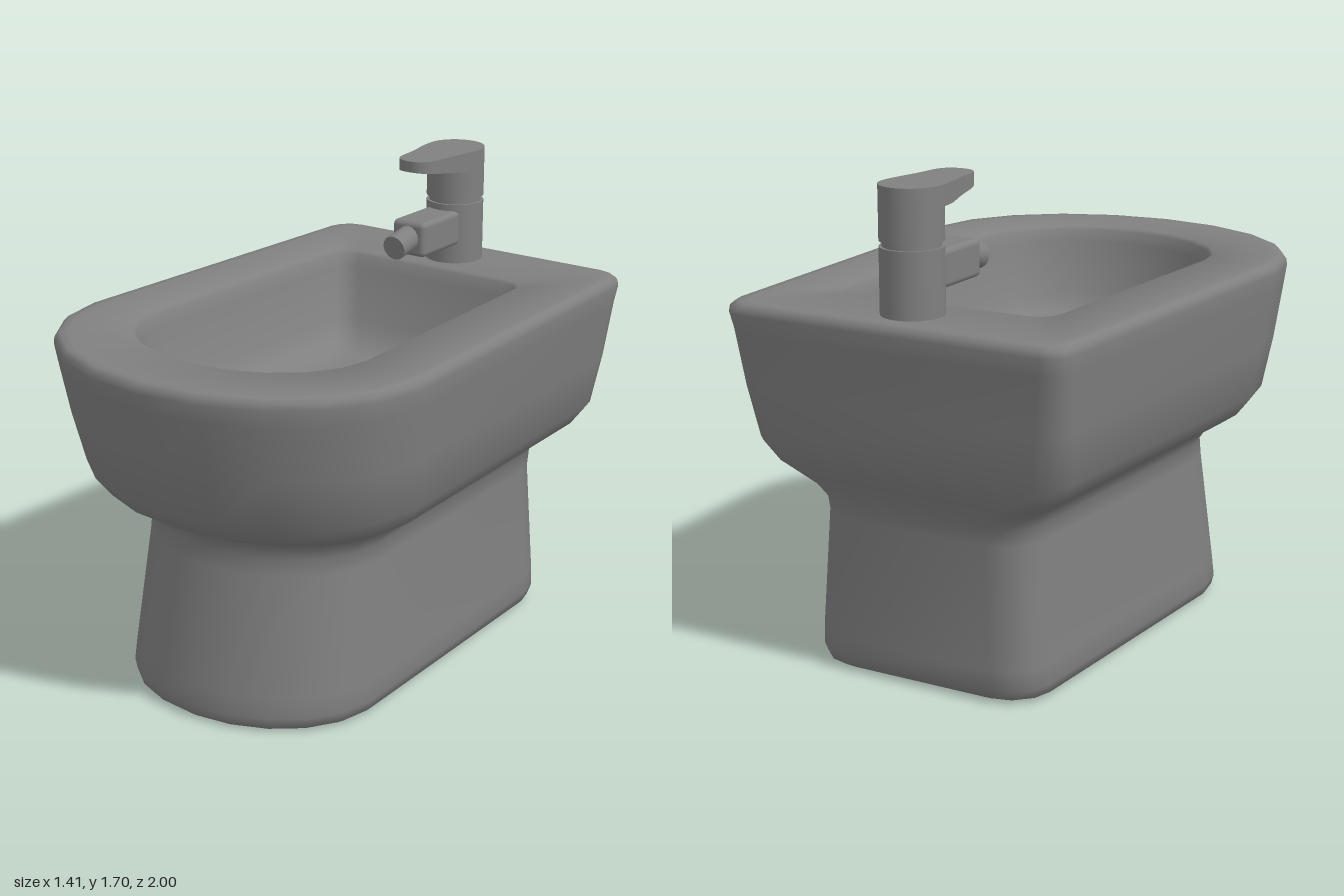
import * as THREE from 'three';
import { toCreasedNormals } from 'three/addons/utils/BufferGeometryUtils.js';
import { RoundedBoxGeometry } from 'three/addons/geometries/RoundedBoxGeometry.js';

// Horizontal outline: round front, slightly tapering sides, rounded back corners
function ring(y, half, zFront, zBack, corner) {
  const pts = [];
  const arcDepth = 0.8 * half;
  const halfBack = 0.91 * half;
  for (let i = 0; i <= 10; i++) {
    const a = (i / 10) * Math.PI;
    pts.push([half * Math.cos(a), y, zFront - arcDepth * (1 - Math.sin(a))]);
  }
  for (const side of [-1, 1]) {
    for (let i = 0; i <= 3; i++) {
      const a = Math.PI * (side < 0 ? 1 : 1.5) + (i / 3) * Math.PI / 2;
      pts.push([side * (halfBack - corner) + corner * Math.cos(a), y, zBack + corner + corner * Math.sin(a)]);
    }
  }
  return pts;
}

// Skin through a stack of outlines, closed at both ends
function loft(rings) {
  const n = rings[0].length;
  const top = (rings.length - 1) * n;
  const centre = rings.length * n;
  const pos = rings.flat(2);
  const idx = [];
  pos.push(0, rings[0][0][1], 0, 0, rings[rings.length - 1][0][1], 0);
  for (let j = 0; j < n; j++) {
    const k = (j + 1) % n;
    for (let r = 0; r < top; r += n) {
      idx.push(r + j, r + n + j, r + k, r + k, r + n + j, r + n + k);
    }
    idx.push(centre, j, k, centre + 1, top + k, top + j);
  }
  const geo = new THREE.BufferGeometry();
  geo.setAttribute('position', new THREE.Float32BufferAttribute(pos, 3));
  geo.setIndex(idx);
  return toCreasedNormals(geo, 0.95);
}

export function createModel() {
  const group = new THREE.Group();
  const ceramic = new THREE.MeshStandardMaterial({ color: 0x808080 });
  ceramic.name = 'grey ceramic';

  const add = (name, geo, x, y, z, parent = group) => {
    const mesh = new THREE.Mesh(geo, ceramic);
    mesh.name = name;
    mesh.position.set(x, y, z);
    parent.add(mesh);
    return mesh;
  };

  // Outside, from the floor up to the rim: y, half width, z front, z back
  const outside = [
    [0, 0.445, 0.745, -0.8],
    [0.015, 0.47, 0.765, -0.825],
    [0.05, 0.48, 0.77, -0.84],
    [0.12, 0.475, 0.76, -0.845],
    [0.54, 0.447, 0.683, -0.83],
    [0.6, 0.445, 0.675, -0.845],
    [0.655, 0.485, 0.69, -0.87],
    [0.69, 0.54, 0.765, -0.885],
    [0.73, 0.6, 0.835, -0.905],
    [0.8, 0.65, 0.89, -0.927],
    [0.98, 0.677, 0.942, -0.958],
    [1.18, 0.698, 0.988, -0.985],
    [1.24, 0.705, 1, -1],
    [1.262, 0.702, 0.997, -0.997],
    [1.277, 0.688, 0.983, -0.983],
    [1.277, 0.66, 0.955, -0.955],
  ];
  // Basin, from the rim down to its floor
  const basin = [
    [1.277, 0.455, 0.745, -0.67],
    [1.265, 0.445, 0.735, -0.66],
    [1.22, 0.435, 0.725, -0.645],
    [1.03, 0.385, 0.68, -0.58],
    [0.965, 0.35, 0.645, -0.54],
    [0.935, 0.3, 0.59, -0.49],
    [0.93, 0.22, 0.5, -0.4],
  ];
  // Back corners get tighter as the outside widens
  add('bowlAndPedestal', loft([
    ...outside.map((level) => ring(...level, 0.14 - 0.27 * Math.max(0, level[1] - 0.48))),
    ...basin.map((level) => ring(...level, 0.08)),
  ]), 0, 0, 0);

  // Drain cover on the basin floor
  add('drain', new THREE.CylinderGeometry(0.08, 0.08, 0.03, 14), 0, 0.94, -0.24);

  // Mixer tap
  const tap = new THREE.Group();
  tap.name = 'tap';
  group.add(tap);
  const tapZ = -0.823;
  add('tapBody', new THREE.CylinderGeometry(0.106, 0.106, 0.24, 24), 0, 1.38, tapZ, tap);
  add('tapGroove', new THREE.CylinderGeometry(0.096, 0.096, 0.03, 24), 0, 1.51, tapZ, tap);
  add('tapHead', new THREE.CylinderGeometry(0.106, 0.106, 0.16, 24), 0, 1.598, tapZ, tap);

  // Lever: teardrop plate, thicker near the head
  const shape = new THREE.Shape();
  shape.absarc(0, 0, 0.106, 0, Math.PI, false);
  shape.bezierCurveTo(-0.106, -0.08, -0.08, -0.13, -0.075, -0.23);
  shape.bezierCurveTo(-0.07, -0.29, -0.04, -0.31, 0, -0.31);
  shape.bezierCurveTo(0.04, -0.31, 0.07, -0.29, 0.075, -0.23);
  shape.bezierCurveTo(0.08, -0.13, 0.106, -0.08, 0.106, 0);
  const lever = new THREE.ExtrudeGeometry(shape, { depth: 1, bevelEnabled: false, curveSegments: 12 });
  lever.rotateX(-Math.PI / 2);
  const p = lever.attributes.position;
  for (let i = 0; i < p.count; i++) {
    const thickness = 0.07 - 0.03 * THREE.MathUtils.clamp((p.getZ(i) - 0.1) / 0.21, 0, 1);
    p.setY(i, p.getY(i) > 0.5 ? 0 : -thickness);
  }
  add('tapLever', toCreasedNormals(lever, 0.6), 0, 1.7, tapZ, tap);

  // Spout arm and tilted nozzle
  add('spoutArm', new RoundedBoxGeometry(0.14, 0.13, 0.25, 2, 0.02), 0, 1.412, -0.637, tap);
  const nozzle = add('spoutNozzle', new THREE.CylinderGeometry(0.046, 0.046, 0.12, 16), 0, 1.408, -0.483, tap);
  nozzle.rotation.x = Math.PI / 2 + 0.2;

  return group;
}
